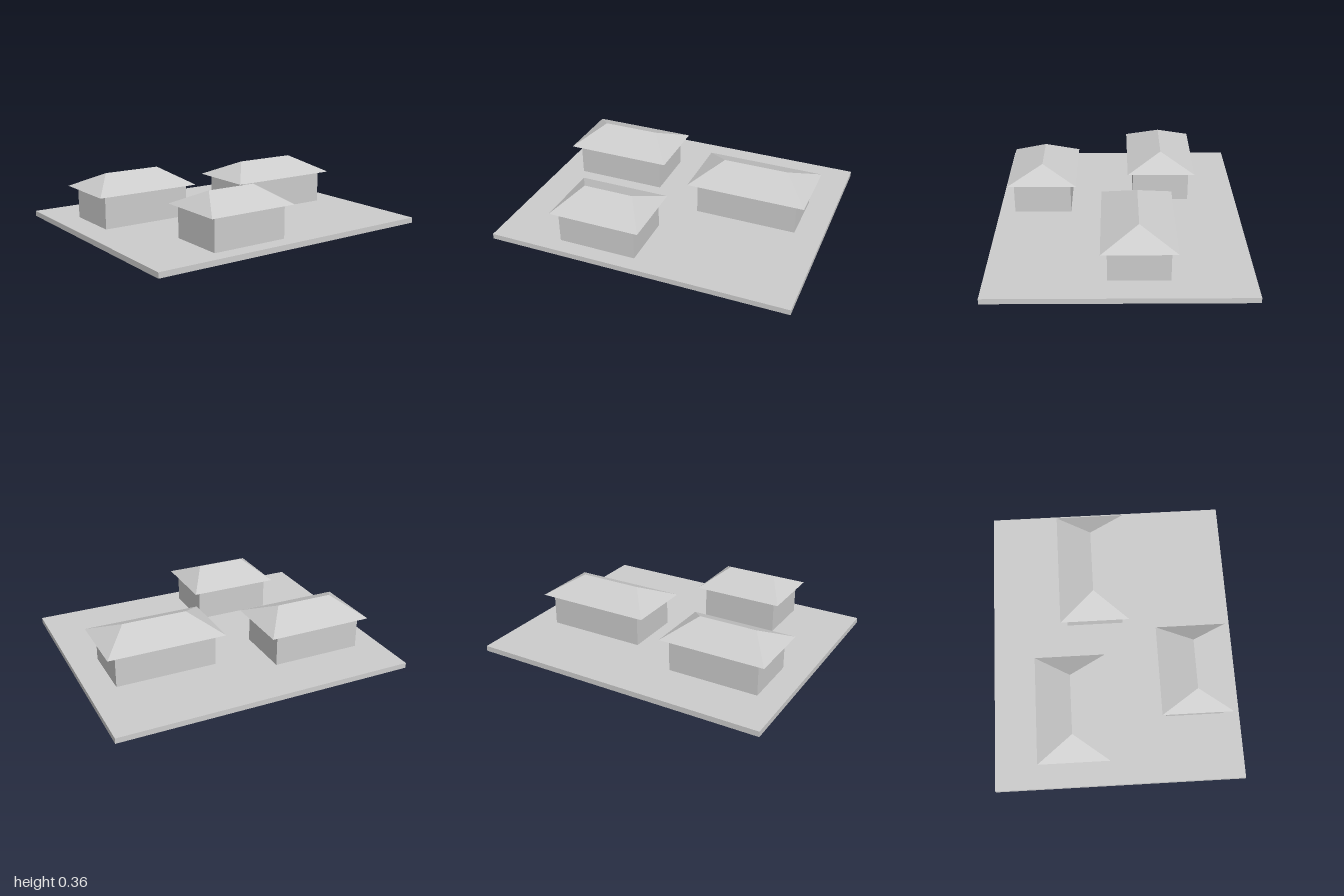
import * as THREE from 'three';

const BASE_TOP = 0.036, WALL_TOP = 0.243, EAVE = 0.253, RIDGE = 0.359;
const ROOF_DEPTH = 0.468, WALL_DEPTH = 0.388;

// Closed hip roof with its ridge along x
function hipRoofGeometry(width, depth, ridgeLength, height) {
  const x = width / 2, z = depth / 2, r = ridgeLength / 2;
  const corners = [
    [-x, 0, z], [x, 0, z], [x, 0, -z], [-x, 0, -z], // eaves
    [-r, height, 0], [r, height, 0],                // ridge ends
  ];
  const faces = [
    0, 1, 5, 0, 5, 4, // front slope
    2, 3, 4, 2, 4, 5, // back slope
    1, 2, 5,          // left hip
    3, 0, 4,          // right hip
    0, 3, 2, 0, 2, 1, // underside
  ];
  const geometry = new THREE.BufferGeometry();
  const positions = faces.flatMap((i) => corners[i]);
  geometry.setAttribute('position', new THREE.Float32BufferAttribute(positions, 3));
  geometry.computeVertexNormals();
  return geometry;
}

function box(name, material, w, y0, y1, d) {
  const mesh = new THREE.Mesh(new THREE.BoxGeometry(w, y1 - y0, d), material);
  mesh.position.y = (y0 + y1) / 2;
  mesh.name = name;
  return mesh;
}

export function createModel() {
  const model = new THREE.Group();
  model.name = 'houseCluster';
  const grey = new THREE.MeshStandardMaterial({ color: 0xcccccc });
  grey.name = 'light grey';

  // Ground slab
  model.add(box('groundSlab', grey, 2, 0, BASE_TOP, 1.654));

  // Three houses that differ only in place and width
  const houses = [
    { name: 'backHouse', x: -0.523, z: -0.296, width: 0.715 },
    { name: 'leftHouse', x: 0.476, z: -0.116, width: 0.796 },
    { name: 'frontHouse', x: -0.297, z: 0.526, width: 0.61 },
  ];
  for (const { name, x, z, width } of houses) {
    const house = new THREE.Group();
    house.name = name;
    house.position.set(x, 0, z);
    house.add(box('walls', grey, width * 0.853, BASE_TOP, WALL_TOP, WALL_DEPTH));
    const roof = new THREE.Mesh(
      hipRoofGeometry(width, ROOF_DEPTH, width * 0.545, RIDGE - EAVE), grey);
    roof.name = 'hipRoof';
    roof.position.y = EAVE;
    house.add(roof);
    model.add(house);
  }
  return model;
}
